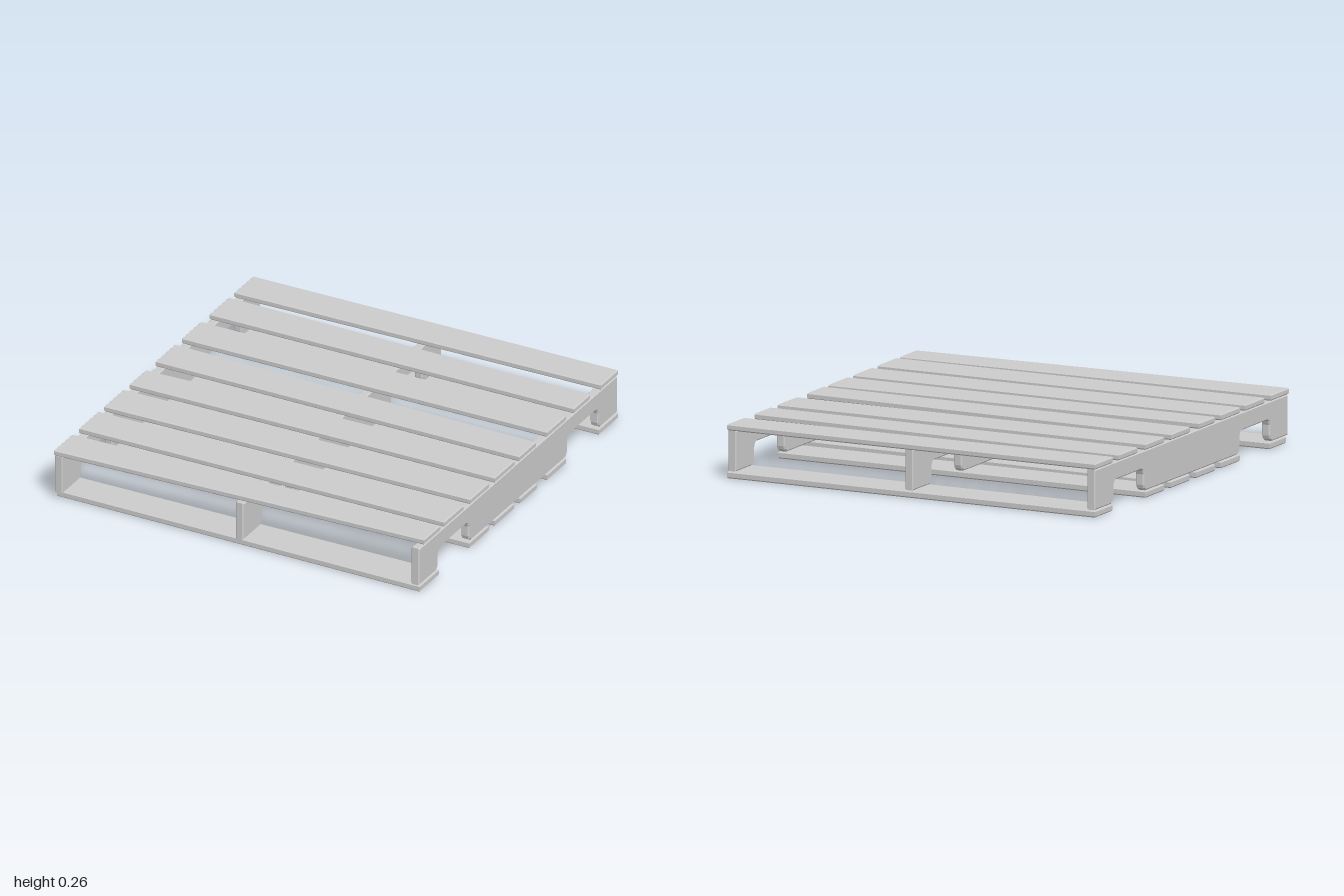
import * as THREE from 'three';

const material = new THREE.MeshStandardMaterial({ color: 0xcccccc, flatShading: true });
const BEVEL = 0.006;

// Extrude an outline with chamfered edges; the chamfer stays inside the outline.
function chamferedExtrude(points, thickness) {
  const shape = new THREE.Shape(points.map(([a, b]) => new THREE.Vector2(a, b)));
  const geometry = new THREE.ExtrudeGeometry(shape, {
    depth: thickness - 2 * BEVEL,
    bevelEnabled: true,
    bevelThickness: BEVEL,
    bevelSize: BEVEL,
    bevelOffset: -BEVEL,
    bevelSegments: 1,
  });
  return geometry.translate(0, 0, BEVEL);
}

// Plank across x, given by its back and front z at the right (-x) and left (+x) ends.
function makeBoard(name, [backA, frontA, backB, frontB], bottom, thickness) {
  const half = 0.993;
  const geometry = chamferedExtrude(
    [[-half, -frontA], [half, -frontB], [half, -backB], [-half, -backA]], thickness);
  geometry.rotateX(-Math.PI / 2);
  const board = new THREE.Mesh(geometry, material);
  board.name = name;
  board.position.y = bottom;
  return board;
}

// Upright beam along z with two fork notches cut in its underside.
function makeStringer(x) {
  const low = 0.036, high = 0.234, roof = 0.146, width = 0.044;
  const notch = (a, b) => [
    [a - 0.024, low], [a - 0.006, low + 0.012], [a, low + 0.03],
    [a, roof - 0.028], [a + 0.008, roof - 0.008], [a + 0.028, roof],
    [b - 0.028, roof], [b - 0.008, roof - 0.008], [b, roof - 0.028],
    [b, low + 0.03], [b + 0.006, low + 0.012], [b + 0.024, low],
  ];
  const geometry = chamferedExtrude([
    [-0.995, low], ...notch(-0.802, -0.495), ...notch(0.495, 0.802),
    [0.993, low], [0.993, high], [-0.995, high],
  ], width);
  geometry.translate(0, 0, -width / 2).rotateY(-Math.PI / 2);
  const stringer = new THREE.Mesh(geometry, material);
  stringer.name = 'stringer';
  stringer.position.x = x;
  return stringer;
}

export function createModel() {
  const pallet = new THREE.Group();
  pallet.name = 'pallet';

  // Deck boards, several cut unevenly
  const deck = [
    [-1, -0.813, -1, -0.828],
    [-0.757, -0.563, -0.717, -0.557],
    [-0.478, -0.287, -0.478, -0.287],
    [-0.218, -0.024, -0.176, -0.008],
    [0.075, 0.237, 0.04, 0.237],
    [0.298, 0.493, 0.298, 0.483],
    [0.55, 0.743, 0.55, 0.743],
    [0.813, 0.997, 0.781, 0.946],
  ];
  deck.forEach((ends) => pallet.add(makeBoard('deckBoard', ends, 0.234, 0.031)));

  // Bottom boards, leaving the fork notches open
  const base = [
    [-1, -0.818, -1, -0.806],
    [-0.478, -0.287, -0.478, -0.287],
    [-0.222, -0.026, -0.186, -0.018],
    [0.04, 0.237, 0.043, 0.237],
    [0.298, 0.493, 0.298, 0.493],
    [0.797, 0.967, 0.8, 0.992],
  ];
  base.forEach((ends) => pallet.add(makeBoard('bottomBoard', ends, 0, 0.034)));

  // Stringers between the two layers
  [-0.969, 0.013, 0.969].forEach((x) => pallet.add(makeStringer(x)));

  return pallet;
}
